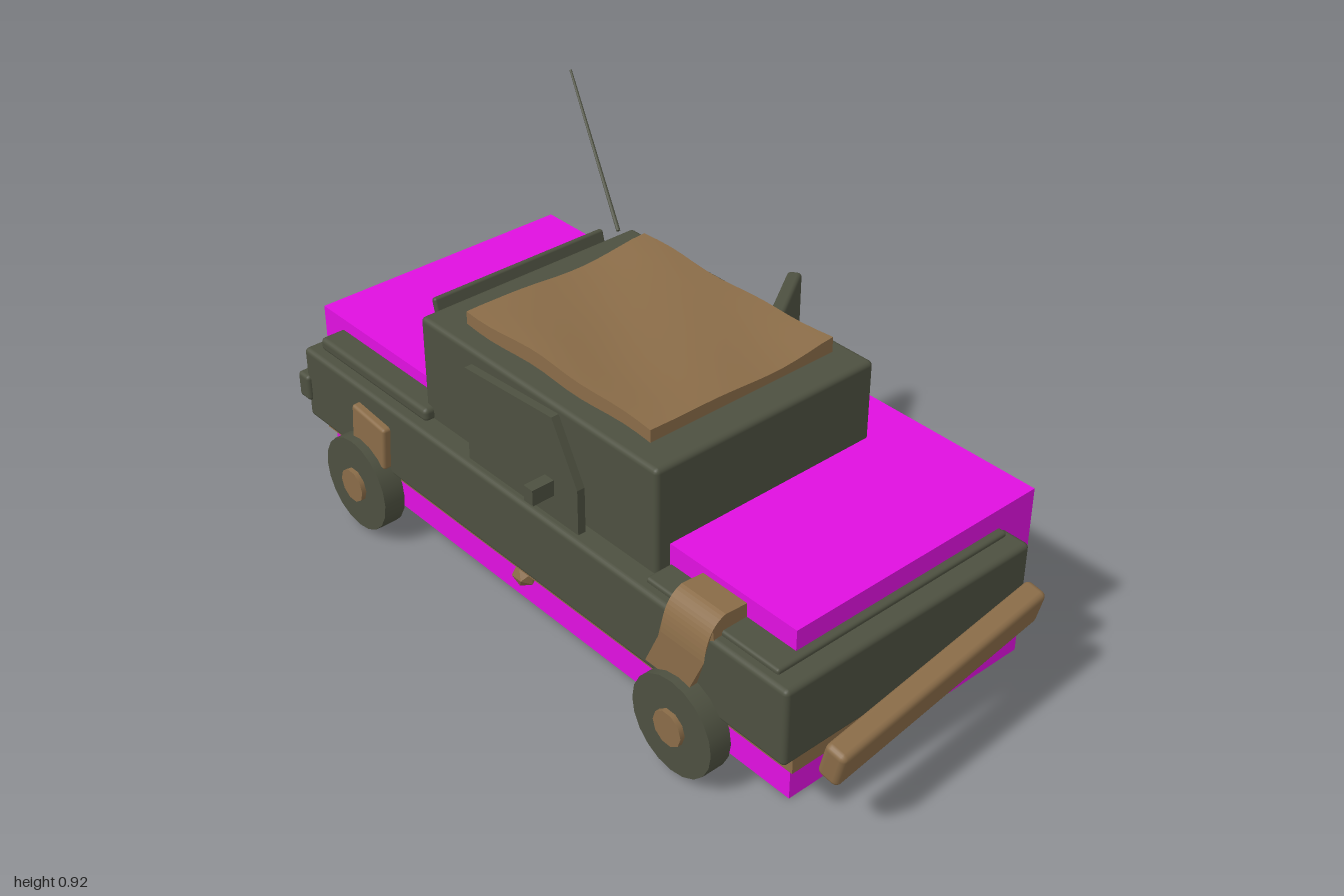
import * as THREE from 'three';
import { RoundedBoxGeometry } from 'three/addons/geometries/RoundedBoxGeometry.js';

const mat = (name, color) => {
  const m = new THREE.MeshStandardMaterial({ color });
  m.name = name;
  return m;
};

export function createModel() {
  const car = new THREE.Group();
  car.name = 'wreckedCar';
  const magenta = mat('magenta', 0xe010e0);
  const dark = mat('dark olive', 0x4d5040);
  const rust = mat('rust brown', 0x8a6c48);

  const add = (name, geometry, material) => {
    const mesh = new THREE.Mesh(geometry, material);
    mesh.name = name;
    car.add(mesh);
    return mesh;
  };
  // Box given by its limits on each axis, with an optional small edge radius
  const box = (name, material, [x0, x1], [y0, y1], [z0, z1], r = 0) => {
    const s = [x1 - x0, y1 - y0, z1 - z0];
    const g = r ? new RoundedBoxGeometry(...s, 2, r) : new THREE.BoxGeometry(...s);
    const mesh = add(name, g, material);
    mesh.position.set((x0 + x1) / 2, (y0 + y1) / 2, (z0 + z1) / 2);
    return mesh;
  };
  // Round bar between two points
  const rod = (name, material, a, b, r0, r1, sides) => {
    const p = new THREE.Vector3(...a), q = new THREE.Vector3(...b);
    const mesh = add(name, new THREE.CylinderGeometry(r1, r0, p.distanceTo(q), sides), material);
    mesh.position.copy(p).add(q).multiplyScalar(0.5);
    mesh.quaternion.setFromUnitVectors(new THREE.Vector3(0, 1, 0), q.sub(p).normalize());
    return mesh;
  };

  // Large plain block
  box('block', magenta, [-0.357, 0.355], [0, 0.447], [-0.82, 0.82]);

  // Lower body, sill and raised edges
  box('body', dark, [-0.45, 0.268], [0.19, 0.385], [-0.78, 0.89], 0.012);
  box('underbody', rust, [-0.42, 0.24], [0.155, 0.2], [-0.75, 0.885]);
  box('hoodPanel', dark, [-0.425, 0.25], [0.38, 0.396], [0.45, 0.84], 0.007);
  box('trunkPanel', dark, [-0.42, 0.2], [0.38, 0.415], [-0.75, -0.32], 0.012);
  box('rearBumper', dark, [-0.4, 0.2], [0.2, 0.33], [-0.81, -0.77], 0.01);
  box('rearLamp', dark, [-0.46, -0.4], [0.24, 0.31], [-0.805, -0.76], 0.01);

  // Cabin
  box('cabin', dark, [-0.395, 0.233], [0.37, 0.645], [-0.35, 0.45], 0.012);
  const hatch = box('rearWindowFrame', dark, [-0.34, 0.157], [0.575, 0.66], [-0.373, -0.357], 0.006);
  hatch.rotation.x = -0.25;

  // Dented rust sheet on the roof
  const sheet = new THREE.BoxGeometry(0.525, 0.024, 0.62, 14, 1, 14);
  const p = sheet.attributes.position;
  for (let i = 0; i < p.count; i++) {
    const x = p.getX(i), z = p.getZ(i);
    const bump = 0.011 * Math.min(1, (x / 0.24) ** 2) + 0.004 * Math.sin(17 * x + 9 * z);
    if (p.getY(i) > 0) p.setY(i, p.getY(i) + bump);
    p.setX(i, x + 0.004 * Math.sin(z * 21) * Math.sign(x));
  }
  sheet.computeVertexNormals();
  add('roofSheet', sheet, rust).position.set(-0.073, 0.657, 0.055);

  // Side window panel with a sloping front post
  const pane = new THREE.Shape();
  pane.moveTo(-0.14, 0.37);
  pane.lineTo(0.24, 0.37);
  pane.lineTo(0.24, 0.5);
  pane.lineTo(0.16, 0.645);
  pane.lineTo(-0.14, 0.625);
  pane.closePath();
  const door = add('leaningDoorPanel',
    new THREE.ExtrudeGeometry(pane, { depth: 0.02, bevelEnabled: false }), dark);
  door.rotation.y = -Math.PI / 2;
  door.position.x = -0.41;

  // Door hanging open, loose mirror and aerial
  const open = add('openDoor', new RoundedBoxGeometry(0.345, 0.305, 0.036, 2, 0.01), dark);
  open.position.set(0.372, 0.383, 0.02);
  open.rotation.y = 0.575;
  box('mirror', dark, [-0.53, -0.473], [0.497, 0.536], [0.188, 0.217]);
  rod('aerial', dark, [0.185, 0.655, -0.345], [0.314, 0.922, -0.672], 0.005, 0.003, 6);

  // Loose front bumper, skewed and bent
  const bar = add('looseBumper', new RoundedBoxGeometry(0.665, 0.096, 0.055, 2, 0.014), rust);
  bar.position.set(-0.067, 0.234, 0.94);
  bar.rotation.set(0.25, 0.085, 0.033);

  // Wheels with rust hubs on the exposed side
  for (const [name, z] of [['frontWheel', 0.605], ['rearWheel', -0.53]]) {
    const tyre = add(name, new THREE.CylinderGeometry(0.121, 0.121, 0.056, 20), dark);
    tyre.rotation.z = Math.PI / 2;
    tyre.position.set(-0.464, 0.133, z);
    const hub = add(name + 'Hub', new THREE.CylinderGeometry(0.043, 0.043, 0.076, 10), rust);
    hub.rotation.z = Math.PI / 2;
    hub.position.set(-0.466, 0.133, z);
  }

  // Torn rust patch wrapped over the front fender
  const wrap = new THREE.Shape();
  wrap.moveTo(-0.445, 0.22);
  wrap.lineTo(-0.472, 0.235);
  wrap.lineTo(-0.472, 0.34);
  wrap.quadraticCurveTo(-0.465, 0.42, -0.415, 0.434);
  wrap.lineTo(-0.35, 0.43);
  wrap.lineTo(-0.35, 0.38);
  wrap.lineTo(-0.445, 0.37);
  wrap.closePath();
  const patch = new THREE.ExtrudeGeometry(wrap, { depth: 0.13, bevelEnabled: false });
  const q = patch.attributes.position;
  for (let i = 0; i < q.count; i++) {
    q.setZ(i, q.getZ(i) + 0.55 - Math.max(0, 0.33 - q.getY(i)) * 0.5);
  }
  patch.computeVertexNormals();
  add('frontFenderPatch', patch, rust);
  const rearPatch = box('rearFenderPatch', rust, [-0.47, -0.44], [0.215, 0.335], [-0.56, -0.43], 0.008);
  rearPatch.rotation.x = 0.1;

  // Exhaust pipe and loose nut
  rod('exhaust', rust, [0.13, 0.14, -0.7], [0.13, 0.14, -1], 0.017, 0.017, 8);
  add('looseNut', new THREE.IcosahedronGeometry(0.031, 0), rust).position.set(-0.387, 0.112, -0.01);

  return car;
}
